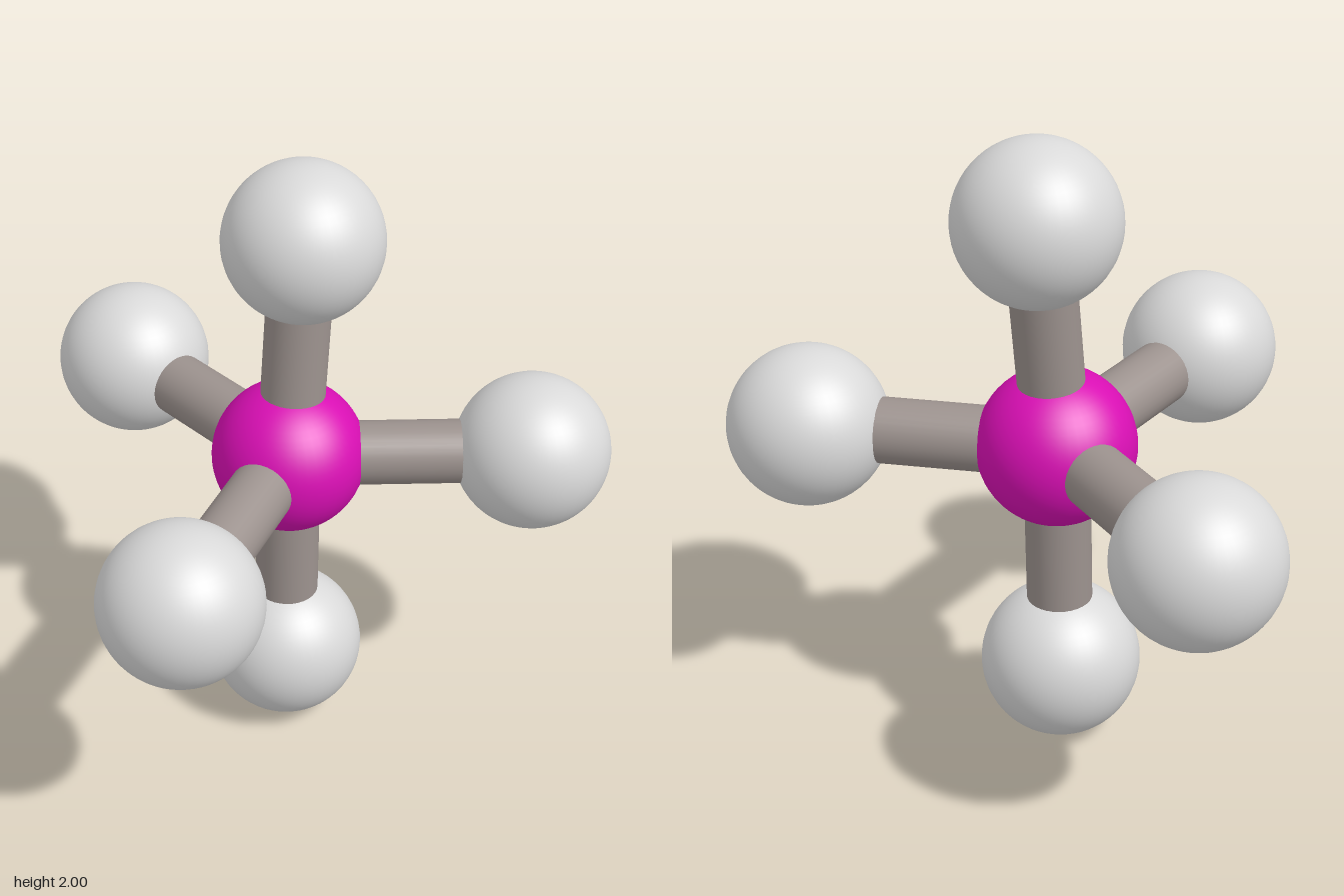
import * as THREE from 'three';

export function createModel() {
  const model = new THREE.Group();
  model.name = 'ballAndStickModel';

  const material = (name, color) => {
    const m = new THREE.MeshStandardMaterial({ color });
    m.name = name;
    return m;
  };
  const magenta = material('magenta', 0xd90fb4);
  const lightGrey = material('lightGrey', 0xd9d9d9);
  const warmGrey = material('warmGrey', 0x9c928e);

  const ballGeometry = new THREE.SphereGeometry(0.25, 48, 32);
  const addBall = (name, position, mat, scale = 1) => {
    const ball = new THREE.Mesh(ballGeometry, mat);
    ball.name = name;
    ball.position.copy(position);
    ball.scale.setScalar(scale);
    model.add(ball);
  };

  // Central ball
  const centre = new THREE.Vector3(0, 1.01, -0.25);
  addBall('centreBall', centre, magenta, 0.98);

  // Outer balls, each joined to the centre by a rod
  const up = new THREE.Vector3(0, 1, 0);
  const outer = {
    top: [0.01, 1.75, -0.32],
    bottom: [0, 0.25, -0.24],
    front: [0, 1.015, 0.56],
    left: [0.7, 1.015, -0.57],
    right: [-0.7, 1, -0.57],
  };
  for (const [side, xyz] of Object.entries(outer)) {
    const end = new THREE.Vector3(...xyz);
    addBall(side + 'Ball', end, lightGrey);

    const span = end.clone().sub(centre);
    const rod = new THREE.Mesh(
      new THREE.CylinderGeometry(0.102, 0.102, span.length(), 32, 1, true), warmGrey);
    rod.name = side + 'Rod';
    rod.position.copy(centre).addScaledVector(span, 0.5);
    rod.quaternion.setFromUnitVectors(up, span.normalize());
    model.add(rod);
  }
  return model;
}
